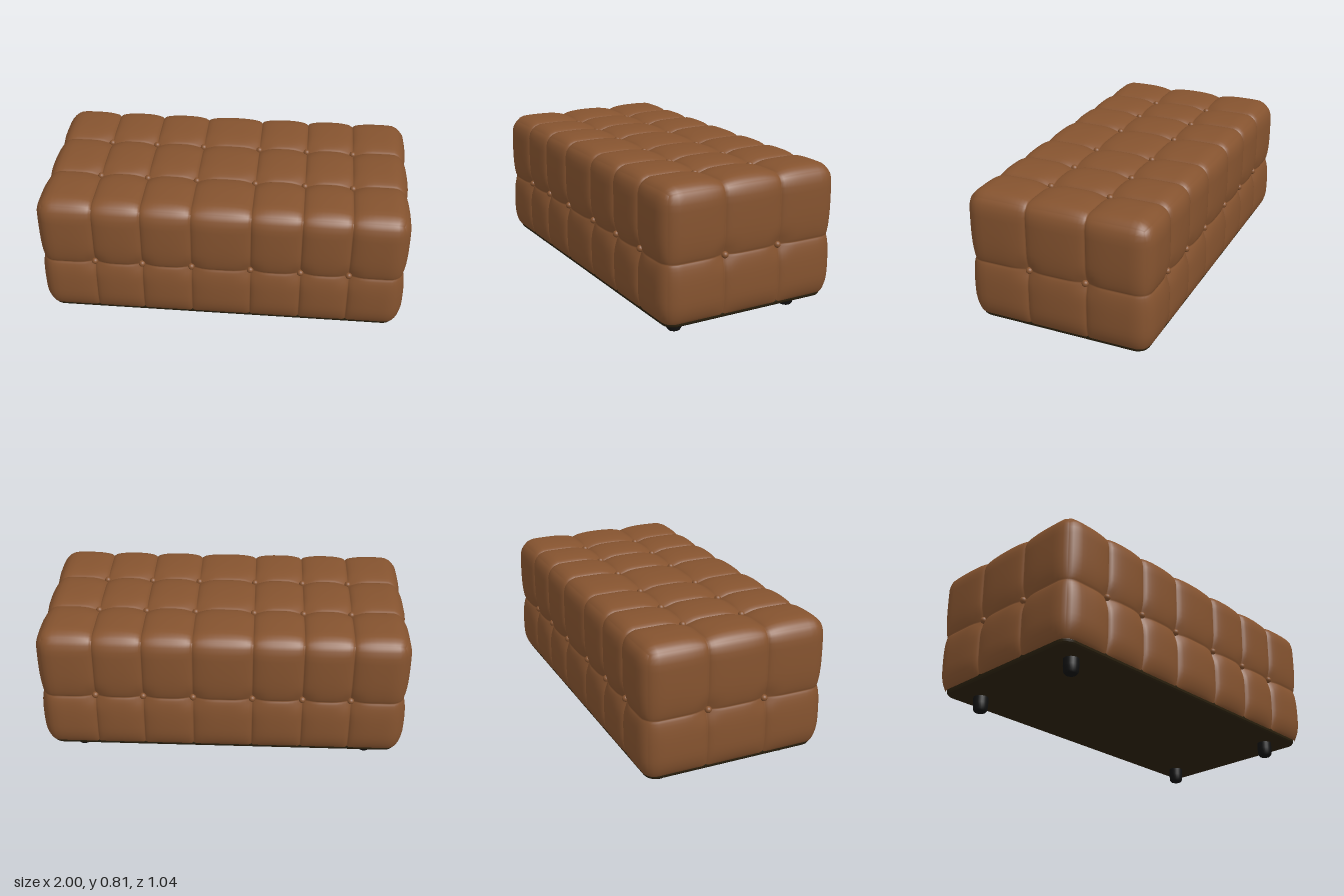
import * as THREE from 'three';
import { mergeVertices } from 'three/addons/utils/BufferGeometryUtils.js';

// Seam positions along each axis; the first and last values are the cushion's edges
const KX = [-0.977, -0.69, -0.43, -0.16, 0.16, 0.43, 0.69, 0.977];
const KY = [0.105, 0.42, 0.786];
const KZ = [-0.495, -0.165, 0.165, 0.495];
const SEG = 14, R = 0.07;

// Turns a cell coordinate into a position, packing points close to the seams
function place(c, knots) {
  const n = knots.length - 1;
  const i = Math.min(n - 1, Math.max(0, Math.floor(c + 1e-5)));
  const t = THREE.MathUtils.clamp(c - i, 0, 1);
  const s = 0.5 - 0.5 * Math.cos(Math.PI * t);
  return THREE.MathUtils.lerp(knots[i], knots[i + 1], s);
}

// Pillow profile across the cells of one axis: 0 at seams, 1 in the middle, softer at outer edges
function pillow(p, knots, closedStart = false) {
  const n = knots.length - 1;
  let i = 0;
  while (i < n - 1 && p > knots[i + 1]) i++;
  const k = 2 * (p - knots[i]) / (knots[i + 1] - knots[i]) - 1;
  const outer = (i === 0 && k < 0 && !closedStart) || (i === n - 1 && k > 0);
  return Math.max(0, 1 - (outer ? 0.5 : 1) * Math.pow(Math.abs(k), 2.5));
}

const seamGap = (p, knots) => Math.min(...knots.slice(1, -1).map((k) => Math.abs(p - k)));

// Height of the quilting over a face with axes a and b
function quilt(a, ka, b, kb, closedB, amount) {
  const puff = amount * Math.pow(pillow(a, ka) * pillow(b, kb, closedB), 0.65);
  const da = seamGap(a, ka), db = seamGap(b, kb);
  const groove = 0.004 * Math.exp(-((da / 0.006) ** 2));
  const pull = 0.018 * Math.exp(-(da * da + db * db) / 0.0025);
  return puff - groove - pull;
}

function cushionGeometry() {
  const box = new THREE.BoxGeometry(7, 2, 3, 7 * SEG, 2 * SEG, 3 * SEG);
  // Leave out the underside, which the base closes
  const under = box.groups[3];
  const index = Array.from(box.index.array);
  index.splice(under.start, under.count);
  box.setIndex(index);
  box.clearGroups();
  box.deleteAttribute('normal');
  box.deleteAttribute('uv');
  const geo = mergeVertices(box, 1e-4);
  const pos = geo.attributes.position;
  const p = new THREE.Vector3(), q = new THREE.Vector3(), n = new THREE.Vector3();
  const lo = new THREE.Vector3(KX[0] + R, KY[0], KZ[0] + R);
  const hi = new THREE.Vector3(KX[7] - R, KY[2] - R, KZ[3] - R);
  for (let i = 0; i < pos.count; i++) {
    p.set(place(pos.getX(i) + 3.5, KX), place(pos.getY(i) + 1, KY), place(pos.getZ(i) + 1.5, KZ));
    // Round the upper and upright edges
    q.copy(p).clamp(lo, hi);
    n.copy(p).sub(q).normalize();
    // Blend the quilting of the three face directions
    const d = n.x * n.x * quilt(p.z, KZ, p.y, KY, true, 0.021)
      + n.y * n.y * quilt(p.x, KX, p.z, KZ, false, 0.026)
      + n.z * n.z * quilt(p.x, KX, p.y, KY, true, 0.024);
    // Draw the sides in towards the base
    const low = Math.max(0, 1 - (p.y - KY[0]) / 0.1);
    const tuck = 0.014 * low * low * (1 - n.y * n.y);
    q.addScaledVector(n, R + d - tuck);
    pos.setXYZ(i, q.x, q.y, q.z);
  }
  geo.computeVertexNormals();
  return geo;
}

// Rounded rectangle outline
function roundedRect(w, h, r) {
  const s = new THREE.Shape();
  s.absarc(w - r, h - r, r, 0, Math.PI / 2);
  s.absarc(-w + r, h - r, r, Math.PI / 2, Math.PI);
  s.absarc(-w + r, -h + r, r, Math.PI, Math.PI * 1.5);
  s.absarc(w - r, -h + r, r, Math.PI * 1.5, Math.PI * 2);
  return s;
}

export function createModel() {
  const leather = new THREE.MeshStandardMaterial({ color: 0x85532f });
  leather.name = 'brown leather';
  const lining = new THREE.MeshStandardMaterial({ color: 0x2c220f });
  lining.name = 'dark lining';
  const black = new THREE.MeshStandardMaterial({ color: 0x111111 });
  black.name = 'black legs';

  const model = new THREE.Group();
  model.name = 'tuftedOttoman';
  const add = (name, geo, mat, parent = model) => {
    const mesh = new THREE.Mesh(geo, mat);
    mesh.name = name;
    parent.add(mesh);
    return mesh;
  };

  add('cushion', cushionGeometry(), leather);

  // Dark base with a bevelled lower edge
  const baseGeo = new THREE.ExtrudeGeometry(roundedRect(0.945, 0.463, 0.05), {
    depth: 0.004, bevelEnabled: true, bevelThickness: 0.022, bevelSize: 0.018, bevelSegments: 3, curveSegments: 8,
  });
  baseGeo.rotateX(-Math.PI / 2);
  add('base', baseGeo, lining).position.y = 0.105;

  // Buttons where the seams cross
  const buttons = new THREE.Group();
  buttons.name = 'buttons';
  model.add(buttons);
  const buttonGeo = new THREE.SphereGeometry(0.018, 16, 12);
  const button = (x, y, z) => add('button', buttonGeo, leather, buttons).position.set(x, y, z);
  for (const x of KX.slice(1, -1)) {
    for (const s of [-1, 1]) {
      button(x, 0.772, s * 0.168);
      button(x, 0.425, s * 0.483);
    }
  }
  for (const sx of [-1, 1]) {
    for (const sz of [-1, 1]) button(sx * 0.965, 0.42, sz * 0.158);
  }

  // Short round legs
  const legGeo = new THREE.LatheGeometry(
    [[0, 0], [0.03, 0.002], [0.038, 0.012], [0.041, 0.045], [0.041, 0.1]].map(([x, y]) => new THREE.Vector2(x, y)), 24);
  for (const sx of [-1, 1]) {
    for (const sz of [-1, 1]) add('leg', legGeo, black).position.set(sx * 0.8, 0, sz * 0.35);
  }
  return model;
}
